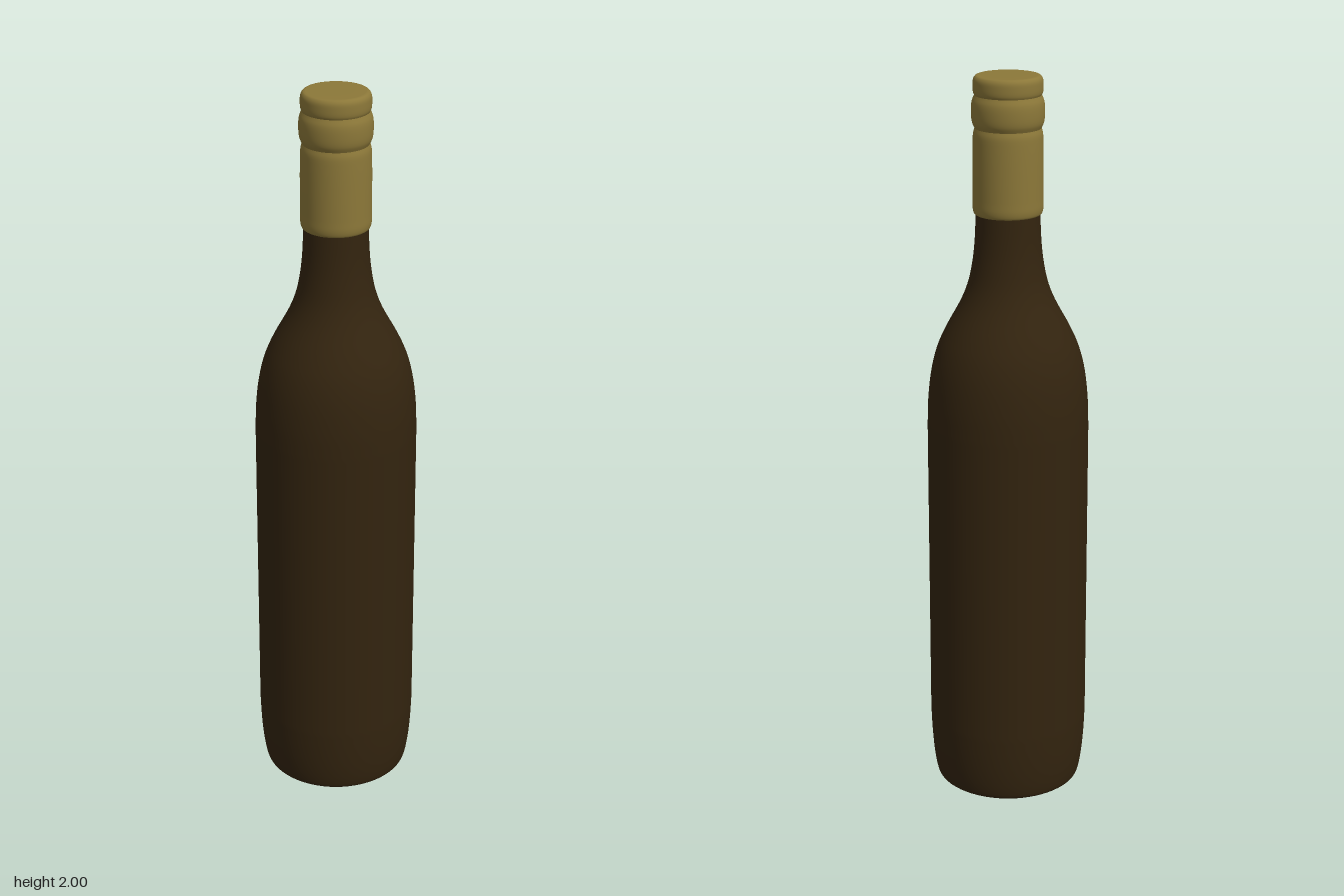
import * as THREE from 'three';

const glass = new THREE.MeshStandardMaterial({ name: 'dark brown glass', color: 0x33240f });
const foil = new THREE.MeshStandardMaterial({ name: 'dull gold foil', color: 0x8c7839 });

// Smooth outline through [radius, height] points, running upwards
function smooth(points, steps) {
  const curve = new THREE.CatmullRomCurve3(points.map(([r, y]) => new THREE.Vector3(r, y, 0)), false, 'centripetal');
  return curve.getPoints(steps).map(p => new THREE.Vector2(Math.max(p.x, 0), p.y));
}

function turned(name, outline, material) {
  const mesh = new THREE.Mesh(new THREE.LatheGeometry(outline, 64), material);
  mesh.name = name;
  return mesh;
}

export function createModel() {
  const group = new THREE.Group();
  group.name = 'bottle';

  // Underside with a shallow hollow and a small central dimple
  group.add(turned('base', smooth([[0, 0.035], [0.02, 0.027], [0.05, 0.022], [0.12, 0.014], [0.17, 0.004], [0.19, 0]], 24), glass));

  // Body, shoulder and neck in one sweep
  const heel = smooth([[0.19, 0], [0.198, 0.006], [0.204, 0.025], [0.211, 0.07], [0.216, 0.13], [0.219, 0.2]], 18);
  const shoulder = smooth([[0.219, 1.05], [0.216, 1.13], [0.206, 1.21], [0.19, 1.27], [0.168, 1.32], [0.125, 1.4],
    [0.106, 1.45], [0.094, 1.51], [0.088, 1.57], [0.085, 1.66]], 40);
  group.add(turned('body', [...heel, ...shoulder], glass));

  // Foil sleeve round the neck
  group.add(turned('sleeve', smooth([[0.083, 1.634], [0.089, 1.636], [0.093, 1.648], [0.0935, 1.68], [0.0925, 1.83],
    [0.091, 1.85], [0.087, 1.864]], 30), foil));

  // Bulging ring under the lip
  group.add(turned('neckRing', smooth([[0.087, 1.862], [0.094, 1.878], [0.0965, 1.905], [0.0945, 1.932], [0.088, 1.949]], 20), foil));

  // Cap edge and flat top
  group.add(turned('cap', [...smooth([[0.087, 1.947], [0.091, 1.956], [0.092, 1.975], [0.0905, 1.99], [0.085, 1.998],
    [0.078, 2]], 20), new THREE.Vector2(0.04, 2), new THREE.Vector2(0, 2)], foil));

  return group;
}
